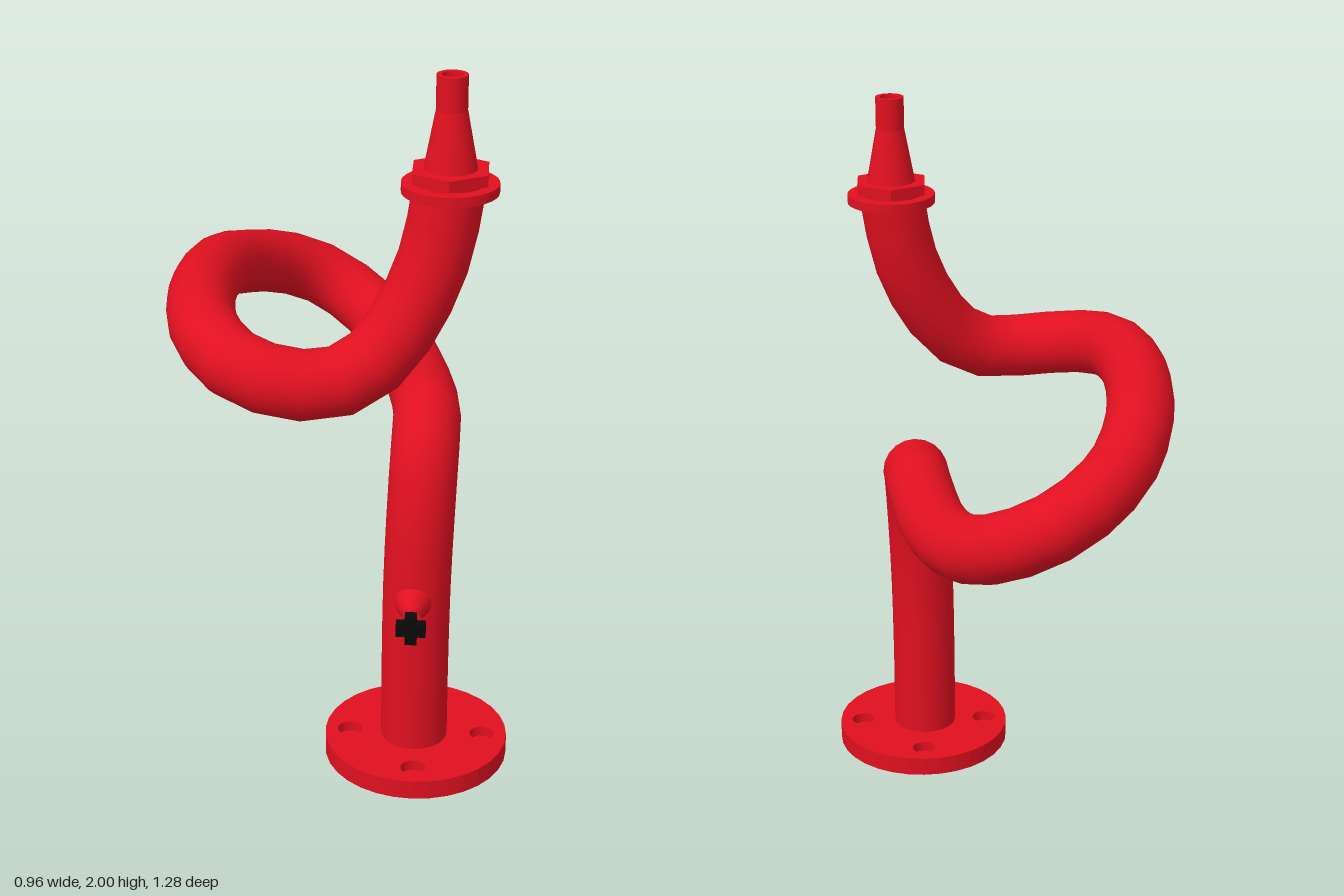
import * as THREE from 'three';

const red = new THREE.MeshStandardMaterial({ color: 0xe01020 });
const black = new THREE.MeshStandardMaterial({ color: 0x0a0a0a });
const flatRed = red.clone();
flatRed.flatShading = true;

function add(parent, name, geometry, material, x = 0, y = 0, z = 0) {
  const mesh = new THREE.Mesh(geometry, material);
  mesh.name = name;
  mesh.position.set(x, y, z);
  parent.add(mesh);
  return mesh;
}

// Lathe with hard edges: each profile segment is its own surface
function turned(parent, name, profile, segments = 32) {
  const group = new THREE.Group();
  group.name = name;
  for (let i = 0; i < profile.length - 1; i++) {
    const points = [profile[i], profile[i + 1]].map(([r, y]) => new THREE.Vector2(r, y));
    add(group, name + 'Section', new THREE.LatheGeometry(points, segments), red);
  }
  parent.add(group);
  return group;
}

export function createModel() {
  const model = new THREE.Group();
  model.name = 'loopedPipe';

  // Base flange: solid underside plate with a drilled plate on top
  const baseX = 0.222, baseZ = 0.343, baseR = 0.256;
  add(model, 'basePlate', new THREE.CylinderGeometry(baseR, baseR, 0.025, 32), red, baseX, 0.0125, baseZ);
  const plate = new THREE.Shape().absarc(0, 0, baseR, 0, Math.PI * 2);
  for (let i = 0; i < 4; i++) {
    const a = i * Math.PI / 2;
    plate.holes.push(new THREE.Path().absarc(Math.cos(a) * 0.187, Math.sin(a) * 0.187, 0.034, 0, Math.PI * 2, true));
  }
  const flange = add(model, 'drilledFlange',
    new THREE.ExtrudeGeometry(plate, { depth: 0.03, bevelEnabled: false, curveSegments: 16 }),
    red, baseX, 0.025, baseZ);
  flange.rotation.x = -Math.PI / 2;

  // Pipe rising from the flange, looping once and rising again
  const path = new THREE.CatmullRomCurve3([
    [0.217, 0.03, 0.345], [0.217, 0.3, 0.345], [0.22, 0.55, 0.342], [0.228, 0.78, 0.318],
    [0.234, 0.92, 0.26], [0.234, 0.964, 0.16], [0.215, 0.953, 0], [0.178, 0.944, -0.2],
    [0.105, 0.972, -0.4], [0.01, 1.025, -0.51], [-0.11, 1.09, -0.55], [-0.22, 1.145, -0.5],
    [-0.315, 1.195, -0.37], [-0.37, 1.245, -0.2], [-0.39, 1.27, 0], [-0.38, 1.277, 0.2],
    [-0.335, 1.265, 0.38], [-0.24, 1.235, 0.505], [-0.11, 1.212, 0.547], [0.01, 1.212, 0.53],
    [0.11, 1.265, 0.497], [0.2, 1.39, 0.455], [0.26, 1.54, 0.427], [0.29, 1.71, 0.415],
  ].map(p => new THREE.Vector3(...p)));
  add(model, 'pipe', new THREE.TubeGeometry(path, 40, 0.093, 20, false), red);

  // Outlet: collar, hexagonal nut and tapered nozzle with an open bore
  const outlet = new THREE.Group();
  outlet.name = 'outlet';
  outlet.position.set(0.292, 0, 0.415);
  model.add(outlet);
  add(outlet, 'collar', new THREE.CylinderGeometry(0.125, 0.125, 0.026, 32), red, 0, 1.708, 0);
  add(outlet, 'nutSeat', new THREE.CylinderGeometry(0.09, 0.09, 0.02, 32), red, 0, 1.726, 0);
  add(outlet, 'hexNut', new THREE.CylinderGeometry(0.11, 0.11, 0.03, 6), flatRed, 0, 1.743, 0);
  turned(outlet, 'nozzle', [
    [0.07, 1.75], [0.04, 1.91], [0.04, 2], [0.027, 2], [0.027, 1.92], [0, 1.92],
  ]);

  // Side tap: tapered boss, thin stem and cross handle
  const tap = new THREE.Group();
  tap.name = 'tap';
  tap.position.set(0.213, 0.515, 0);
  model.add(tap);
  const spout = turned(tap, 'tapBody', [
    [0.05, 0.41], [0.05, 0.428], [0.025, 0.49], [0.025, 0.515], [0.011, 0.515], [0.011, 0.56],
  ], 20);
  spout.rotation.x = Math.PI / 2;
  const cross = new THREE.Shape();
  const arm = 0.04, half = 0.016;
  const quarter = [[arm, -half], [arm, half], [half, half]];
  const corners = [];
  for (let i = 0; i < 4; i++) {
    for (const [x, y] of quarter) {
      corners.push(new THREE.Vector2(x, y).rotateAround(new THREE.Vector2(), i * Math.PI / 2));
    }
  }
  cross.setFromPoints(corners);
  add(tap, 'tapHandle', new THREE.ExtrudeGeometry(cross, { depth: 0.037, bevelEnabled: false }), black, 0, 0, 0.545);

  return model;
}
